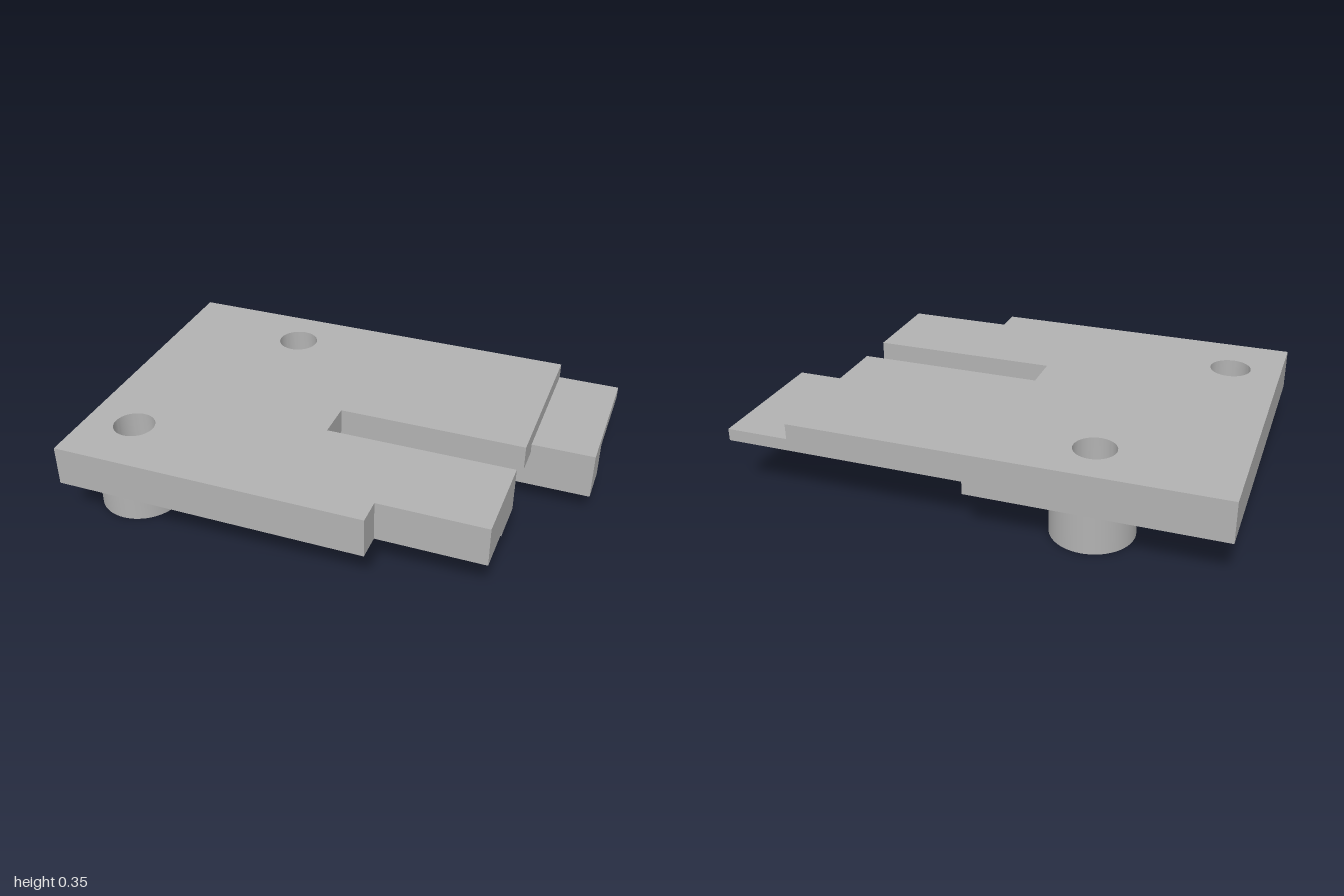
import * as THREE from 'three';
import { toCreasedNormals } from 'three/addons/utils/BufferGeometryUtils.js';

const grey = new THREE.MeshStandardMaterial({ color: 0xb2b2b2 });
grey.name = 'plain grey';

const POSTS = [[-0.79, 0.417], [-0.44, -0.47]]; // x, z of the two bored posts
const POST_R = 0.168, BORE_R = 0.085;

export function createModel() {
  const model = new THREE.Group();
  model.name = 'bracketPlate';

  const add = (name, geometry) => {
    const mesh = new THREE.Mesh(geometry, grey);
    mesh.name = name;
    model.add(mesh);
    return mesh;
  };

  const box = (name, x0, x1, y0, y1, z0, z1) =>
    add(name, new THREE.BoxGeometry(x1 - x0, y1 - y0, z1 - z0))
      .position.set((x0 + x1) / 2, (y0 + y1) / 2, (z0 + z1) / 2);

  const circle = (Type, x, z, r) => new Type().absarc(x, -z, r, 0, Math.PI * 2, false);

  // Extrude a plan shape (x, -z) upward from y0 to y1, keeping round walls smooth
  const slab = (name, shape, y0, y1) => {
    const g = new THREE.ExtrudeGeometry(shape, { depth: y1 - y0, bevelEnabled: false, curveSegments: 32 });
    g.rotateX(-Math.PI / 2).translate(0, y0, 0);
    return add(name, toCreasedNormals(g, 0.6));
  };

  const plan = (points) => {
    const shape = new THREE.Shape(points.map(([x, z]) => new THREE.Vector2(x, -z)));
    for (const [x, z] of POSTS) shape.holes.push(circle(THREE.Path, x, z, BORE_R));
    return shape;
  };

  // Top layer with the long slot and the notched front corner
  slab('plateTop', plan([
    [-1, -0.677], [0.74, -0.677], [0.74, 0.02], [-0.04, 0.02], [-0.04, 0.18], [0.74, 0.18],
    [0.74, 0.567], [0.3, 0.567], [0.3, 0.677], [-1, 0.677],
  ]), 0.25, 0.355);

  // Lower layer, cut away for the underside pocket and the rear recess
  slab('plateUnderside', plan([
    [-1, -0.677], [0.01, -0.677], [0.01, -0.105], [-0.22, -0.105], [-0.22, 0.365], [0.3, 0.365],
    [0.3, 0.183], [0.74, 0.183], [0.74, 0.567], [0.3, 0.567], [0.3, 0.677], [-1, 0.677],
  ]), 0.187, 0.25);

  // Bored posts
  POSTS.forEach(([x, z]) => {
    const ring = circle(THREE.Shape, x, z, POST_R);
    ring.holes.push(circle(THREE.Path, x, z, BORE_R));
    slab('post', ring, 0, 0.187);
  });

  // Thin tab at the rear end
  box('endTab', 0.01, 1, 0.24, 0.29, -0.677, -0.275);

  // Stepped rail with a hook at its inner end
  const rail = new THREE.Shape([
    [-0.45, 0.04], [-0.22, 0.04], [-0.22, 0.14], [0.48, 0.14], [0.48, 0.093],
    [1, 0.093], [1, 0.29], [-0.45, 0.29],
  ].map(([x, y]) => new THREE.Vector2(x, y)));
  add('rail', new THREE.ExtrudeGeometry(rail, { depth: 0.172, bevelEnabled: false }))
    .position.z = -0.277;

  // Stepped block beside the rail
  box('railBlockInner', 0.01, 0.7, 0.135, 0.245, -0.335, -0.275);
  box('railBlockOuter', 0.01, 0.7, 0.145, 0.245, -0.43, -0.335);

  // Raised pad under the front arm
  box('armPad', 0.3, 0.74, 0.17, 0.187, 0.183, 0.365);

  return model;
}
